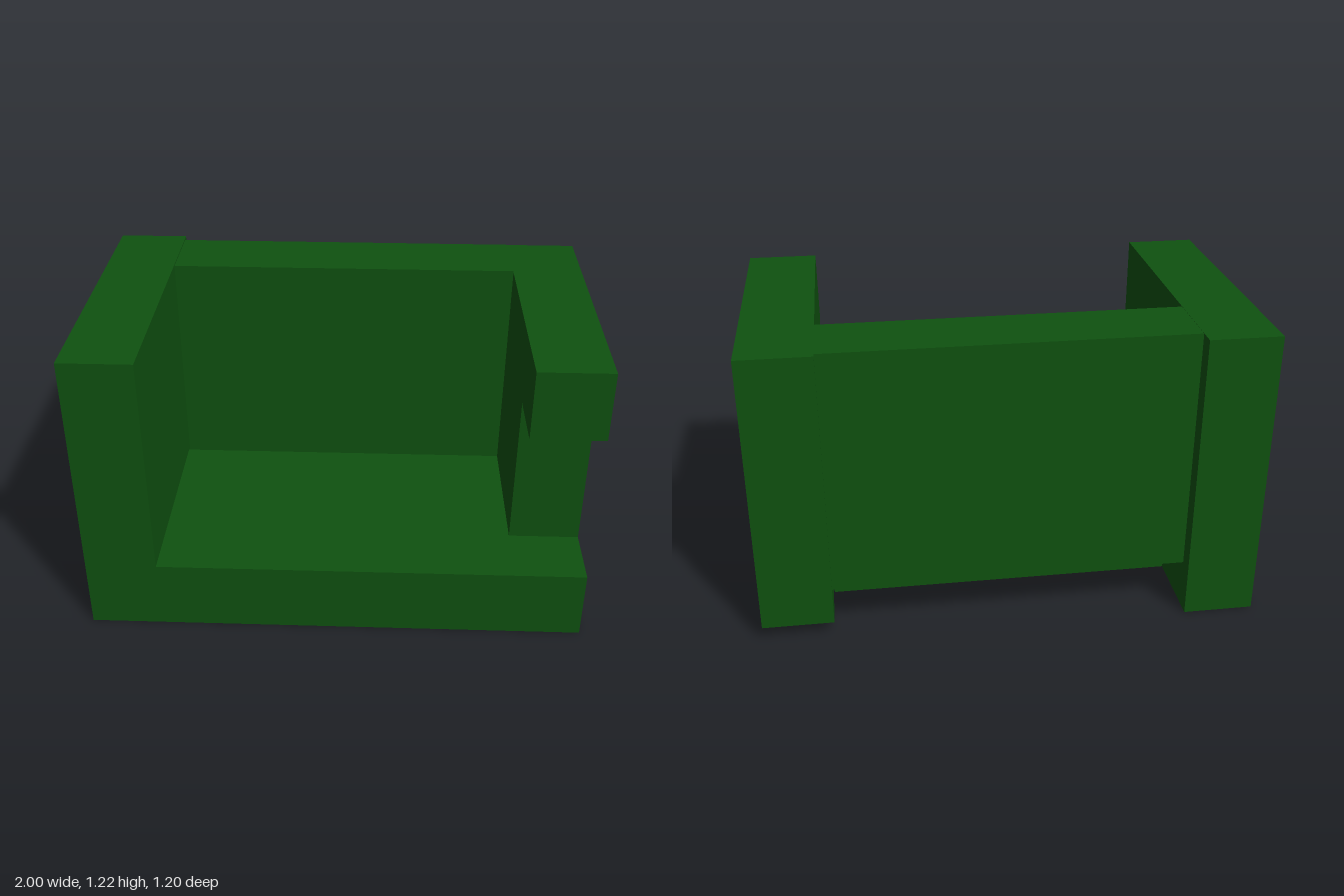
import * as THREE from 'three';

export function createModel() {
  const group = new THREE.Group();
  const material = new THREE.MeshStandardMaterial({ color: 0x0f5210, flatShading: true });

  const add = (name, geometry) => {
    const mesh = new THREE.Mesh(geometry, material);
    mesh.name = name;
    group.add(mesh);
    return mesh;
  };

  // Box given by its two extreme corners
  const block = (name, [x0, y0, z0], [x1, y1, z1]) =>
    add(name, new THREE.BoxGeometry(x1 - x0, y1 - y0, z1 - z0))
      .position.set((x0 + x1) / 2, (y0 + y1) / 2, (z0 + z1) / 2);

  const inner = 0.715;
  block('rightArm', [-1, 0, -0.6], [-inner, 1.21, 0.6]);
  block('seat', [-inner, 0, -0.26], [inner, 0.29, 0.6]);
  // The backrest leaves a thin gap beside the right arm
  block('backrest', [-0.71, 0.21, -0.545], [inner, 1.215, -0.26]);

  // Left arm with a front notch and a raised underside, drawn as (z, y)
  const profile = [
    [0.6, 0], [0.6, 0.29], [0.34, 0.29], [0.34, 0.93], [0.6, 0.93], [0.6, 1.21],
    [-0.555, 1.21], [-0.555, 0.06], [0.315, 0.06], [0.315, 0],
  ].map(([z, y]) => new THREE.Vector2(z, y));
  const leftArm = add('leftArm', new THREE.ExtrudeGeometry(new THREE.Shape(profile),
    { depth: 1 - inner, bevelEnabled: false }));
  leftArm.rotation.y = -Math.PI / 2;
  leftArm.position.x = 1;

  return group;
}
